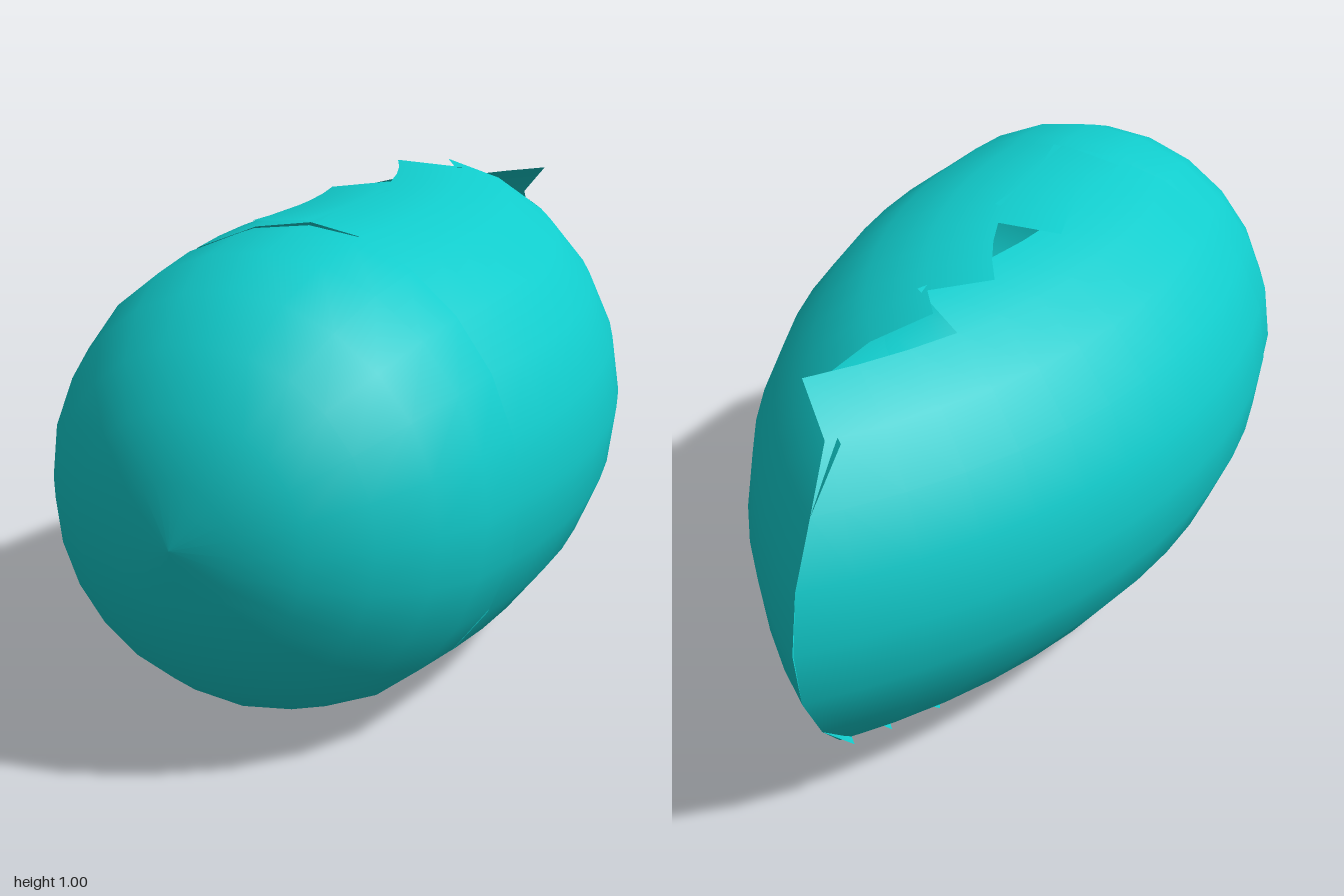
import * as THREE from 'three';

const RAD = Math.PI / 180;
const BEND = 1.125;            // distance of each shell's bend axis from the middle
const RX = 0.52, RY = 0.5;     // half width and half height of the cross-section
const BEND_Z = 0.2;            // widest point of the shells
const START = -10.2, STEP = 4.75; // bend angle of the front edge and of one segment

const material = new THREE.MeshStandardMaterial({ color: 0x11cccc, side: THREE.DoubleSide });

// Number of segments in each 15 degree strip, from the bottom round to the top.
const rightStrips = { first: -7, ends: [6, 7, 9, 10, 12, 12, 12, 12, 12, 12, 9, 9, 8, 5] };
const leftStrips = { first: -6, ends: [5, 8, 10, 12, 12, 12, 12, 12, 12, 11, 8, 4] };

// Half shell: an oval arc swept round a vertical axis, with a stepped, jagged seam.
function makeShell(side, { first, ends }) {
  const pos = [], nor = [], idx = [];
  const addPoint = (deg, bend) => {
    const t = deg * RAD;
    const r = BEND + RX * Math.cos(t);
    // Near the tip the strips stop on the middle plane
    const meet = Math.abs(deg) <= 30 ? Math.acos(BEND / r) / RAD
      : Math.abs(deg) <= 45 ? START + 11 * STEP : 90;
    const a = Math.min(bend, meet) * RAD;
    pos.push(side * (r * Math.cos(a) - BEND), 0.5 + RY * Math.sin(t), BEND_Z - r * Math.sin(a));
    const n = new THREE.Vector2(Math.cos(t) / RX, Math.sin(t) / RY).normalize();
    nor.push(side * n.x * Math.cos(a), n.y, -n.x * Math.sin(a));
  };
  ends.forEach((count, i) => {
    const deg = (first + i) * 15;
    for (let j = 0; j <= count; j++) {
      const base = pos.length / 3;
      addPoint(deg, START + j * STEP);
      addPoint(deg + 15, START + j * STEP);
      if (j === count) continue;
      const [p, q, u, v] = [base, base + 1, base + 2, base + 3];
      if (side > 0) idx.push(p, u, v, p, v, q);
      else idx.push(p, v, u, p, q, v);
    }
  });
  const geo = new THREE.BufferGeometry();
  geo.setAttribute('position', new THREE.Float32BufferAttribute(pos, 3));
  geo.setAttribute('normal', new THREE.Float32BufferAttribute(nor, 3));
  geo.setIndex(idx);
  return new THREE.Mesh(geo, material);
}

// Rounded nose with a short collar tucked into the shells
function makeNose() {
  const profile = [new THREE.Vector2(0.488, -0.06)];
  for (let i = 0; i <= 6; i++) {
    const t = i * 15 * RAD;
    profile.push(new THREE.Vector2(i === 6 ? 0 : 0.49 * Math.cos(t), 0.53 * Math.sin(t)));
  }
  const geo = new THREE.LatheGeometry(profile, 24);
  geo.rotateX(Math.PI / 2);
  geo.scale(1, 1.01, 1);
  geo.translate(0, 0.5, 0.47);
  return new THREE.Mesh(geo, material);
}

export function createModel() {
  const group = new THREE.Group();
  group.name = 'splitShell';
  const left = makeShell(1, rightStrips);
  left.name = 'leftShell';
  const right = makeShell(-1, leftStrips);
  right.name = 'rightShell';
  const nose = makeNose();
  nose.name = 'roundedNose';
  group.add(left, right, nose);
  return group;
}
